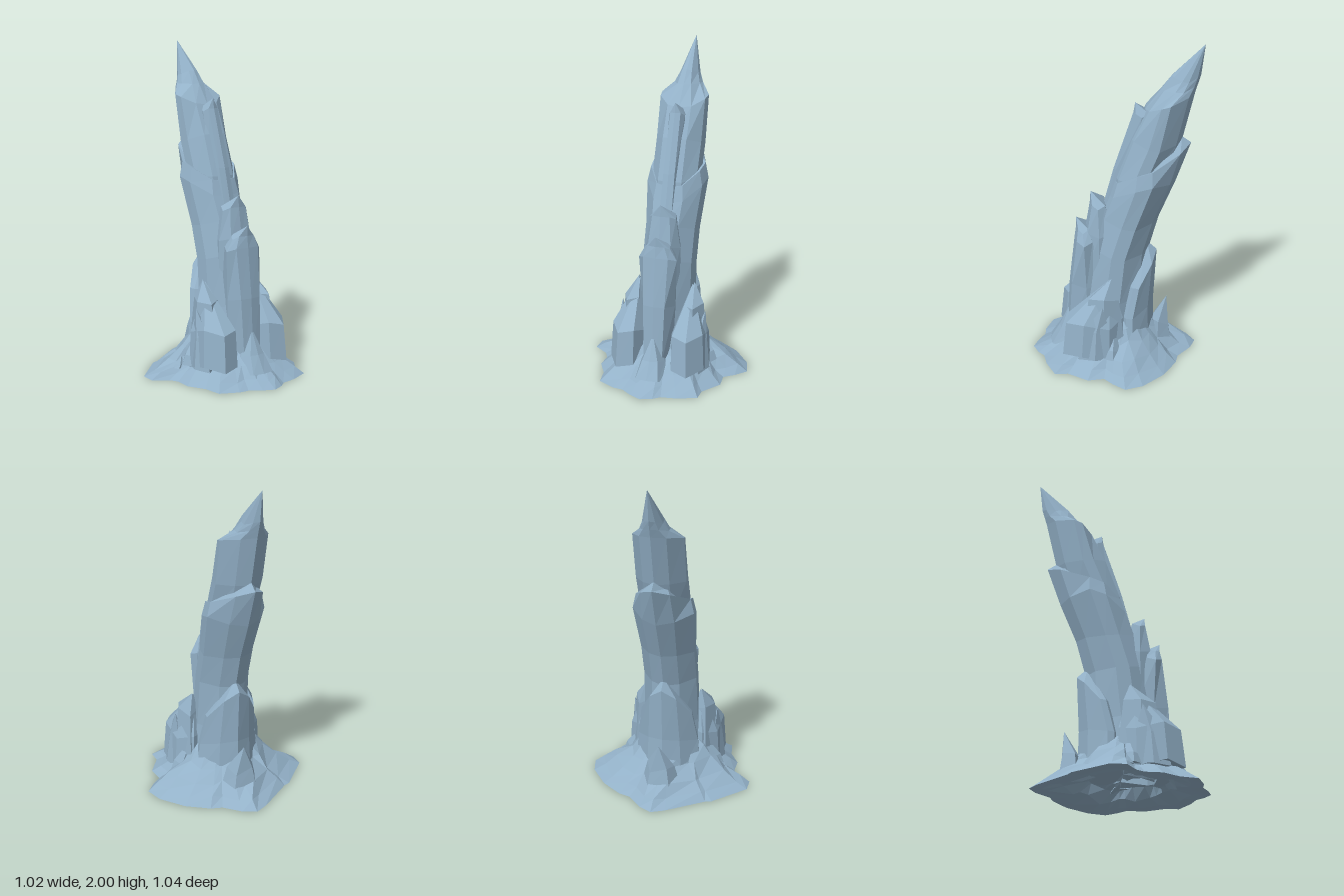
import * as THREE from 'three';

const rock = new THREE.MeshStandardMaterial({ color: 0x93b1c8, flatShading: true });
rock.name = 'pale blue rock';

// Small seeded generator for rocky irregularity
let seed = 7;
const rand = () => {
  seed = (seed * 16807) % 2147483647;
  return seed / 2147483647 - 0.5;
};

// Faceted skin through rings of points (front, +x, back, -x order), closed at both ends
function loft(name, rings, tip) {
  const pos = [];
  const tri = (a, b, c) => pos.push(...a, ...b, ...c);
  const middle = r => [0, 1, 2].map(k => r.reduce((s, p) => s + p[k], 0) / r.length);
  const n = rings[0].length;
  const first = rings[0], last = rings[rings.length - 1];
  const bottom = middle(first), top = tip || middle(last);
  for (let i = 0; i < n; i++) {
    const j = (i + 1) % n;
    tri(bottom, first[j], first[i]);
    for (let k = 0; k + 1 < rings.length; k++) {
      const lo = rings[k], hi = rings[k + 1];
      tri(lo[i], lo[j], hi[j]);
      tri(lo[i], hi[j], hi[i]);
    }
    tri(last[i], last[j], top);
  }
  const geo = new THREE.BufferGeometry();
  geo.setAttribute('position', new THREE.Float32BufferAttribute(pos, 3));
  geo.computeVertexNormals();
  const mesh = new THREE.Mesh(geo, rock);
  mesh.name = name;
  return mesh;
}

// Mirrored, tilted ring from its front [z, y], side [x, z, y] and back [z, y]
function ring([fz, fy], [sx, sz, sy], [bz, by]) {
  const mix = (a, b, t) => a + (b - a) * t;
  const half = [
    [sx * 0.5, mix(fy, sy, 0.12), mix(fz, sz, 0.1)],
    [sx * 0.95, mix(fy, sy, 0.75), mix(fz, sz, 0.6)],
    [sx, sy, sz],
    [sx * 0.52, mix(by, sy, 0.33), mix(bz, sz, 0.3)],
  ];
  const mirror = half.map(([x, y, z]) => [-x, y, z]).reverse();
  return [[0, fy, fz], ...half, [0, by, bz], ...mirror];
}

// Pointed crystal: base ring, shoulder ring, tip
function shard(name, base, shoulder, tip, rx, rz, sides, taper, turn) {
  const around = (c, s) => Array.from({ length: sides }, (_, i) => {
    const a = turn + (i / sides) * Math.PI * 2;
    return [c[0] + Math.sin(a) * rx * s, c[1] + Math.sin(i * 2.3) * rx * 0.2, c[2] + Math.cos(a) * rz * s];
  });
  return loft(name, [around(base, 1), around(shoulder, taper)], tip);
}

// Slab with a flat front: rows of [y, half width, front z, back z]
function slab(name, rows, tip) {
  return loft(name, rows.map(([y, w, f, b]) => [
    [0, y, f], [w * 0.65, y, f - 0.01], [w, y - 0.02, (f + b) / 2], [w * 0.8, y, b],
    [-w * 0.8, y, b], [-w, y - 0.02, (f + b) / 2], [-w * 0.65, y, f - 0.01],
  ]), tip);
}

export function createModel() {
  const group = new THREE.Group();
  group.name = 'leaning rock spire';
  seed = 7;

  // Spreading foot with a ragged outline, a flat rim and a rough hollow beneath
  const outline = [[0, 0.52], [0.07, 0.49], [0.11, 0.455], [0.2, 0.44], [0.32, 0.39], [0.32, 0.31],
    [0.4, 0.19], [0.39, 0.09], [0.45, 0.04], [0.51, -0.03], [0.48, -0.14], [0.37, -0.28],
    [0.24, -0.37], [0.17, -0.39], [0.08, -0.48], [0, -0.52],
    [-0.08, -0.48], [-0.29, -0.325], [-0.33, -0.31], [-0.51, -0.12], [-0.51, -0.03], [-0.42, 0.03],
    [-0.39, 0.08], [-0.39, 0.18], [-0.33, 0.28], [-0.31, 0.39], [-0.2, 0.44], [-0.14, 0.445], [-0.07, 0.49]];
  const level = (s, y, rough) => outline.map(([x, z]) => {
    const k = s + rand() * rough;
    return [x * k, y + rand() * rough * 0.35, z * k];
  });
  group.add(loft('foot', [
    level(0.25, 0.11, 0.12), level(0.5, 0.09, 0.14), level(0.63, 0.03, 0.1), level(0.84, 0.012, 0.04),
    level(1, 0.005, 0), level(0.86, 0.045, 0.05), level(0.7, 0.1, 0.07),
    level(0.54, 0.17, 0.08), level(0.42, 0.24, 0.05),
  ], [0, 0.4, 0]));

  // Main leaning trunk, its torn rim rising at the back
  group.add(loft('trunk', [
    ring([0.25, 0.12], [0.2, 0, 0.12], [-0.22, 0.12]),
    ring([0.2, 0.45], [0.17, -0.02, 0.4], [-0.2, 0.4]),
    ring([0.15, 0.75], [0.165, -0.05, 0.7], [-0.21, 0.7]),
    ring([0.09, 0.95], [0.165, -0.11, 0.9], [-0.27, 0.92]),
    ring([0.04, 1.08], [0.185, -0.21, 1.19], [-0.37, 1.16]),
    ring([0.01, 1.17], [0.165, -0.21, 1.28], [-0.455, 1.4]),
    ring([-0.03, 1.17], [0.12, -0.2, 1.27], [-0.4, 1.44]),
  ]));

  // Upper crystal with shoulders and a sharp peak
  group.add(loft('peak', [
    ring([0.04, 0.9], [0.12, -0.05, 0.9], [-0.2, 0.9]),
    ring([0, 1.2], [0.15, -0.17, 1.2], [-0.33, 1.2]),
    ring([-0.09, 1.45], [0.15, -0.25, 1.4], [-0.4, 1.42]),
    ring([-0.18, 1.62], [0.15, -0.31, 1.68], [-0.47, 1.72]),
    ring([-0.27, 1.74], [0.085, -0.39, 1.74], [-0.485, 1.77]),
    ring([-0.33, 1.82], [0.06, -0.42, 1.79], [-0.5, 1.82]),
  ], [0, 2, -0.52]));

  // Stacked slabs climbing the front
  group.add(slab('upperFrontSlab', [
    [0.95, 0.06, 0.085, -0.1], [1.25, 0.055, 0.005, -0.15], [1.6, 0.05, -0.11, -0.2],
  ], [0, 1.66, -0.12]));
  group.add(slab('middleFrontSlab', [
    [0.55, 0.11, 0.21, 0], [0.85, 0.11, 0.18, 0.02], [1.03, 0.085, 0.15, 0.06],
  ], [0, 1.1, 0.145]));
  group.add(slab('lowerFrontSlab', [
    [0.15, 0.09, 0.3, 0.05], [0.5, 0.105, 0.28, 0.08], [0.8, 0.12, 0.245, 0.14], [0.87, 0.08, 0.235, 0.16],
  ], [0, 0.93, 0.235]));
  group.add(slab('frontToe', [
    [0.07, 0.11, 0.41, 0.2], [0.17, 0.075, 0.35, 0.2],
  ], [0, 0.32, 0.28]));

  // Broad slab and wide spike supporting the back
  group.add(loft('backSlab', [
    ring([0, 0.1], [0.21, -0.1, 0.1], [-0.25, 0.1]),
    ring([0, 0.3], [0.19, -0.1, 0.3], [-0.245, 0.35]),
    ring([-0.05, 0.5], [0.16, -0.14, 0.5], [-0.262, 0.69]),
  ], [0, 0.75, -0.2]));
  group.add(shard('backSpike', [0, 0.08, -0.29], [0, 0.19, -0.29], [0, 0.35, -0.33], 0.12, 0.08, 5, 0.75, 0));

  // Crystals around the trunk, mirrored: name, base, shoulder, tip, rx, rz, sides, taper
  const crystals = [
    ['sideCrystal', [0.19, 0.09, 0.15], [0.185, 0.31, 0.14], [0.17, 0.58, 0.04], 0.12, 0.195, 7, 0.93],
    ['sideRidge', [0.2, 0.2, 0.08], [0.195, 0.47, 0.08], [0.18, 0.59, 0.03], 0.08, 0.13, 5, 0.75],
    ['outerCrystal', [0.26, 0.08, 0.14], [0.25, 0.27, 0.13], [0.27, 0.44, 0.09], 0.055, 0.11, 5, 0.8],
    ['lowCrystal', [0.26, 0.08, 0.03], [0.26, 0.14, 0.03], [0.21, 0.27, 0.01], 0.07, 0.07, 5, 0.7],
    ['sideChip', [0.34, 0.06, 0], [0.33, 0.08, 0], [0.31, 0.13, -0.01], 0.04, 0.03, 4, 0.7],
  ];
  const flip = (p, s) => [p[0] * s, p[1], p[2]];
  for (const [name, base, mid, tip, rx, rz, n, taper] of crystals) {
    for (const s of [1, -1]) {
      const label = (s > 0 ? 'left ' : 'right ') + name;
      group.add(shard(label, flip(base, s), flip(mid, s), flip(tip, s), rx, rz, n, taper, 0.3 * s));
    }
  }
  return group;
}
